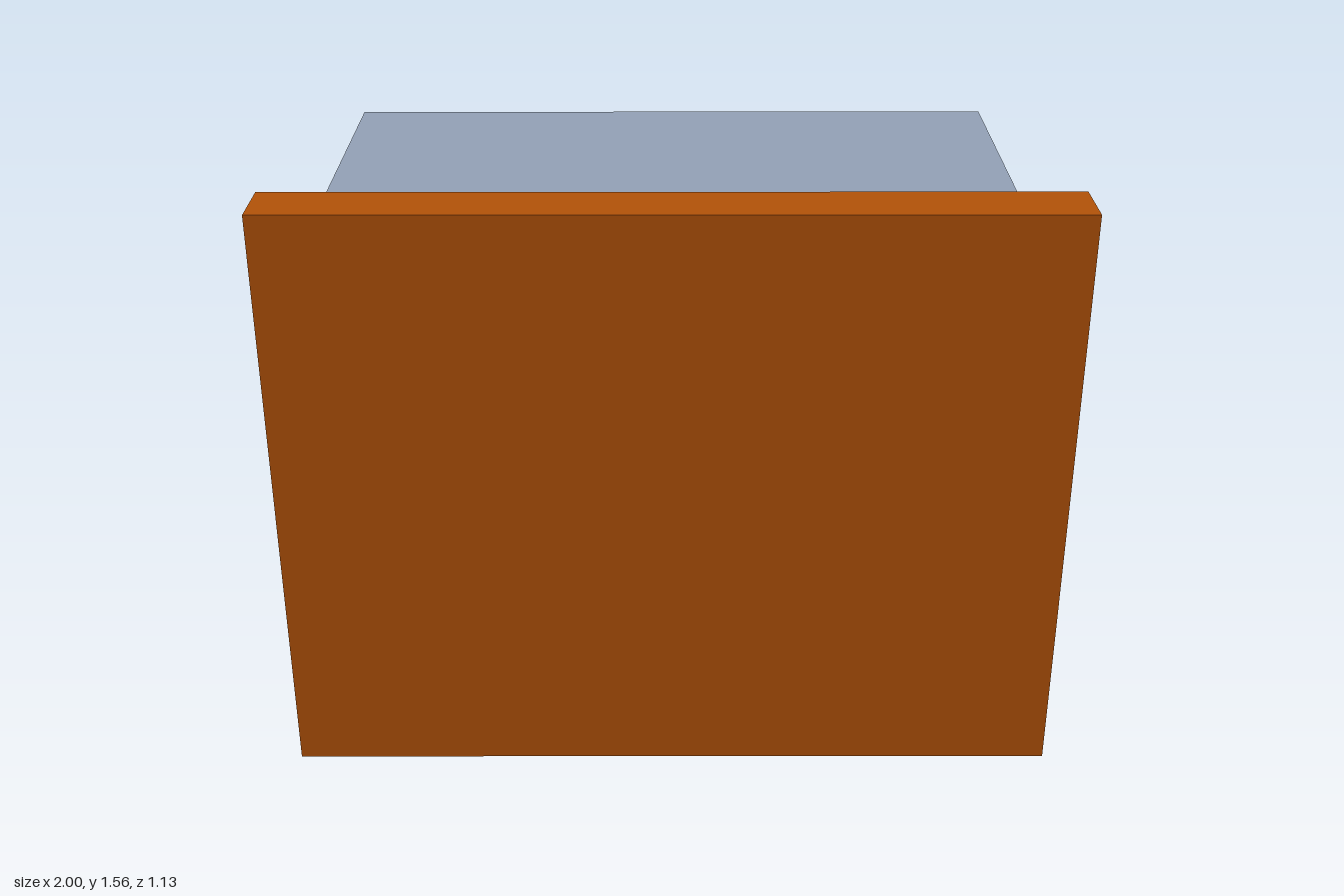
import * as THREE from 'three';

// Box given by its minimum and maximum corners
function block(name, color, min, max) {
  const size = max.map((v, i) => v - min[i]);
  const mesh = new THREE.Mesh(
    new THREE.BoxGeometry(...size),
    new THREE.MeshStandardMaterial({ color })
  );
  mesh.position.set(...max.map((v, i) => (v + min[i]) / 2));
  mesh.name = name;
  return mesh;
}

export function createModel() {
  const group = new THREE.Group();
  group.name = 'drawer';
  group.add(
    // wide front slab
    block('frontPanel', 0xb45309, [-1, 0, 0.411], [1, 1.556, 0.567]),
    // solid body behind the panel
    block('body', 0x94a3b8, [-0.89, 0.111, -0.567], [0.89, 1.444, 0.411]),
    // small plate hanging under the body
    block('bottomPlate', 0x475569, [-0.267, 0.06, -0.187], [0.267, 0.111, 0.124])
  );
  return group;
}
